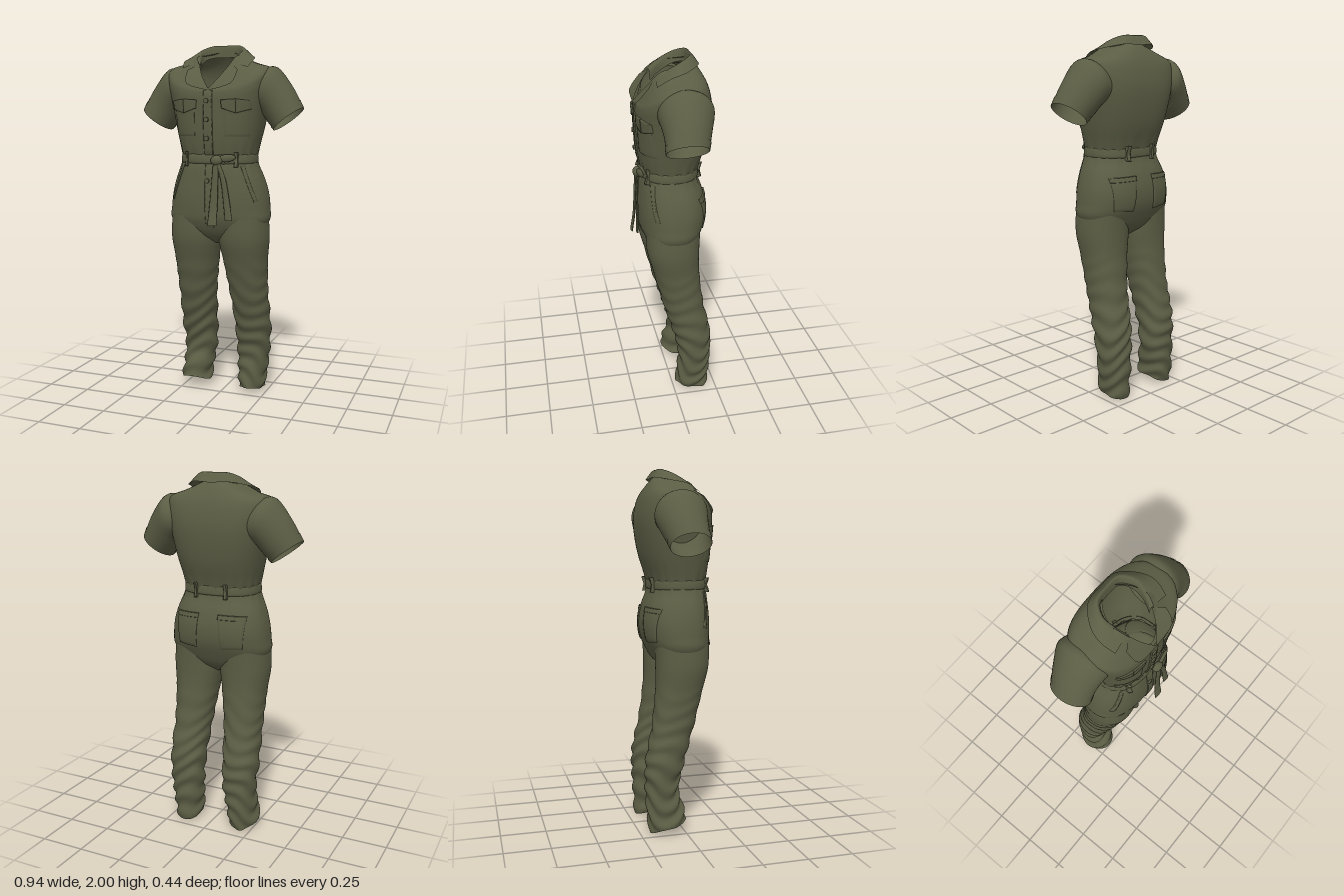
import * as THREE from 'three';

const olive = new THREE.MeshStandardMaterial({ color: 0x5b5d44, side: THREE.DoubleSide });
olive.name = 'olive cotton';

// Smooth interpolation through rows of numbers, t in 0..1
function sample(rows, t) {
  const f = t * (rows.length - 1), i = Math.min(Math.floor(f), rows.length - 2), k = f - i;
  const at = (n) => rows[Math.max(0, Math.min(rows.length - 1, n))];
  return rows[i].map((b, c) => {
    const a = at(i - 1)[c], d = at(i + 1)[c], e = at(i + 2)[c];
    return b + 0.5 * k * (d - a + k * (2 * a - 5 * b + 4 * d - e + k * (3 * (b - d) + e - a)));
  });
}

// Surface from fn(u, v) -> [x, y, z]; u runs around, v along
function surface(name, fn, nu, nv, closed = true) {
  const pos = [], index = [], cols = closed ? nu : nu + 1;
  for (let j = 0; j <= nv; j++)
    for (let i = 0; i < cols; i++) pos.push(...fn(i / nu, j / nv));
  for (let j = 0; j < nv; j++)
    for (let i = 0; i < nu; i++) {
      const a = j * cols + i, b = j * cols + (i + 1) % cols;
      index.push(a, a + cols, b, b, a + cols, b + cols);
    }
  const g = new THREE.BufferGeometry();
  g.setAttribute('position', new THREE.Float32BufferAttribute(pos, 3));
  g.setIndex(index);
  g.computeVertexNormals();
  const mesh = new THREE.Mesh(g, olive);
  mesh.name = name;
  return mesh;
}

// Garment tube. Row: front y, side y, back y, centre x, half width, front z, back z, squareness
function garment(name, rows, nv, fold = () => 0) {
  return surface(name, (u, v) => {
    const [yF, yS, yB, cx, rx, zf, zb, n] = sample(rows, v);
    const a = u * Math.PI * 2, p = 2 / n;
    const c = Math.sign(Math.cos(a)) * Math.abs(Math.cos(a)) ** p;
    const s = Math.sign(Math.sin(a)) * Math.abs(Math.sin(a)) ** p;
    const y = yS + ((s > 0 ? yF : yB) - yS) * s * s, w = fold(a, y);
    return [cx + c * (rx + w), y, (zf + zb) / 2 + s * ((zf - zb) / 2 + w)];
  }, 64, nv);
}
const flat = (y, ...rest) => [y, y, y, 0, ...rest];

const torsoRows = [
  flat(1.37, 0.205, 0.15, -0.145, 2.4),
  flat(1.44, 0.22, 0.165, -0.165, 2.5),
  flat(1.53, 0.24, 0.175, -0.193, 2.6),
  flat(1.63, 0.258, 0.178, -0.21, 2.8),
  [1.7, 1.72, 1.72, 0, 0.275, 0.18, -0.215, 2.9],
  [1.73, 1.81, 1.8, 0, 0.291, 0.178, -0.205, 2.8],
  [1.745, 1.868, 1.865, 0, 0.283, 0.174, -0.185, 2.6],
  [1.752, 1.895, 1.925, 0, 0.2, 0.168, -0.15, 2.2],
  [1.757, 1.935, 1.965, 0, 0.115, 0.162, -0.115, 1.7],
];
const hipRows = [
  flat(0.9, 0.06, 0.05, -0.05, 2),
  flat(0.95, 0.22, 0.12, -0.12, 2.2),
  flat(1.03, 0.284, 0.162, -0.165, 2.4),
  flat(1.1, 0.284, 0.173, -0.19, 2.4),
  flat(1.18, 0.274, 0.175, -0.195, 2.4),
  flat(1.26, 0.252, 0.17, -0.18, 2.4),
  flat(1.33, 0.222, 0.163, -0.155, 2.4),
  flat(1.38, 0.205, 0.15, -0.145, 2.4),
];
// Trouser leg on side s, with its own hem rows
const legRows = (s, hem) => [
  ...hem,
  [0.25, 0.25, 0.25, s * 0.165, 0.093, -0.033, -0.213, 2.2],
  [0.4, 0.4, 0.4, s * 0.167, 0.1, 0.0, -0.21, 2.2],
  [0.6, 0.6, 0.6, s * 0.157, 0.107, 0.06, -0.17, 2.2],
  [0.8, 0.8, 0.8, s * 0.147, 0.125, 0.112, -0.147, 2.2],
  [0.93, 0.93, 0.93, s * 0.143, 0.141, 0.145, -0.145, 2.2],
  [1.06, 1.06, 1.06, s * 0.142, 0.135, 0.15, -0.15, 2.2],
];

// Short sleeve. Row: centre x, y, z, half vector x, y, half depth
const sleeveRows = [
  [0.215, 1.745, -0.03, 0.03, 0.12, 0.14],
  [0.275, 1.745, -0.04, 0.04, 0.125, 0.142],
  [0.335, 1.672, -0.035, 0.066, 0.095, 0.122],
  [0.388, 1.592, -0.022, 0.078, 0.06, 0.108],
];
const sleeve = (name, s, from, puff) => surface(name, (u, v) => {
  const [x, y, z, ux, uy, rz] = sample(sleeveRows, from + (1 - from) * v);
  const a = u * Math.PI * 2, c = Math.cos(a) * puff;
  return [s * (x + c * ux), y + c * uy, z + Math.sin(a) * rz * puff];
}, 40, from ? 5 : 18);

// Half collar rows from the centre back to the tip: stand, fold line, outer edge
const collarRows = [
  [0, 1.93, -0.1, 0, 1.998, -0.108, 0, 1.945, -0.15],
  [0.065, 1.93, -0.09, 0.075, 1.997, -0.1, 0.1, 1.95, -0.138],
  [0.1, 1.91, -0.035, 0.12, 1.972, -0.04, 0.177, 1.93, -0.06],
  [0.1, 1.87, 0.03, 0.113, 1.935, 0.025, 0.202, 1.912, 0.02],
  [0.08, 1.83, 0.08, 0.09, 1.89, 0.085, 0.188, 1.868, 0.092],
];

// Flat cloth tail through centre points, of given half width
const tail = (name, pts, w) => surface(name, (u, v) => {
  const [x, y, z] = sample(pts, v), a = u * Math.PI * 2;
  return [x + Math.cos(a) * w * (0.55 + 0.45 * v), y, z + Math.sin(a) * 0.006];
}, 12, 14);

export function createModel() {
  const suit = new THREE.Group();
  suit.name = 'jumpsuit';
  const add = (mesh) => (suit.add(mesh), mesh);

  // Bodice and hips, gathered at the waist
  const gather = (a, y) => 0.004 * Math.sin(a * 18) * Math.max(0, 1 - Math.abs(y - 1.38) / 0.11);
  const torso = add(garment('bodice', torsoRows, 48, gather));
  const hips = add(garment('hips', hipRows, 36, gather));

  // Legs with creases deepening toward the hems
  const hems = {
    1: [[0.035, 0.02, 0.0, 0.157, 0.072, -0.02, -0.202, 2.2], [0.11, 0.1, 0.09, 0.16, 0.08, -0.025, -0.208, 2.2]],
    '-1': [[0.075, 0.045, 0.005, -0.182, 0.088, 0.012, -0.19, 2.2], [0.13, 0.11, 0.09, -0.178, 0.083, 0.0, -0.205, 2.2]],
  };
  for (const s of [1, -1]) {
    const side = s > 0 ? 'left' : 'right';
    const crease = (a, y) => 0.0065 * Math.max(0, Math.min(1, (0.85 - y) * 2.2))
      * Math.sin(y * 62 + 3 * s * Math.cos(a) + 2 * Math.sin(a * 2 + y * 9));
    add(garment(side + 'Leg', legRows(s, hems[s]), 80, crease));
    add(sleeve(side + 'Sleeve', s, 0, 1));
    add(sleeve(side + 'SleeveCuff', s, 0.86, 1.025));
    // Lapel below the collar
    add(surface(side + 'Lapel', (u, v) => {
      const inner = sample([[0.09, 1.89, 0.085], [0.05, 1.82, 0.145], [0, 1.755, 0.186]], v);
      const outer = sample([[0.145, 1.855, 0.125], [0.125, 1.78, 0.184], [0, 1.745, 0.188]], v);
      return inner.map((p, k) => (p + (outer[k] - p) * u) * (k === 0 ? s : 1));
    }, 6, 8, false));
  }

  // Folded collar
  add(surface('collar', (u, v) => {
    const r = sample(collarRows, Math.abs(v * 2 - 1)), s = v < 0.5 ? -1 : 1;
    const [x, y, z] = sample([r.slice(0, 3), r.slice(3, 6), r.slice(6, 9)], u);
    return [s * x, y, z];
  }, 10, 40, false));

  // Lays a thin four-cornered piece on the cloth: corners are top left, top right, bottom right, bottom left
  suit.updateMatrixWorld(true);
  const ray = new THREE.Raycaster();
  function drape(name, [tl, tr, br, bl], side = 1, lift = 0.007) {
    const n = 10, edge = (t) => Math.max(0, Math.min(1, (t * (n + 2) - 1) / n));
    return add(surface(name, (u, v) => {
      const a = edge(u), b = edge(v);
      const [x, y] = [0, 1].map((k) => (tl[k] * (1 - a) + tr[k] * a) * (1 - b) + (bl[k] * (1 - a) + br[k] * a) * b);
      ray.set(new THREE.Vector3(x, y, side), new THREE.Vector3(0, 0, -side));
      const hit = ray.intersectObjects([torso, hips])[0];
      const rim = u === 0 || u === 1 || v === 0 || v === 1;
      return [x, y, (hit ? hit.point.z : 0) + side * (rim ? -0.002 : lift)];
    }, n + 2, n + 2, false));
  }
  const box = (x0, x1, y1, y0) => [[x0, y1], [x1, y1], [x1, y0], [x0, y0]];

  // Button placket, fly and buttons
  drape('placket', box(-0.03, 0.02, 1.745, 1.4));
  drape('fly', box(-0.025, 0.02, 1.35, 1.0), 1, 0.005);
  for (const [y, z] of [[1.69, 0.189], [1.59, 0.187], [1.49, 0.182], [1.26, 0.178]]) {
    const b = add(new THREE.Mesh(new THREE.CylinderGeometry(0.013, 0.014, 0.012, 16), olive));
    b.name = 'button';
    b.rotation.x = Math.PI / 2;
    b.position.set(-0.012, y, z);
  }

  // Pockets on both sides
  for (const s of [1, -1]) {
    const m = (pts) => pts.map(([x, y]) => [s * x, y]);
    drape('chestPocket', m(box(0.085, 0.21, 1.65, 1.5)), 1, 0.004);
    drape('chestPocketFlapInner', m([[0.07, 1.695], [0.15, 1.7], [0.15, 1.625], [0.075, 1.65]]), 1, 0.009);
    drape('chestPocketFlapOuter', m([[0.15, 1.7], [0.225, 1.69], [0.222, 1.645], [0.15, 1.625]]), 1, 0.009);
    drape('hipPocketEdge', m([[0.165, 1.34], [0.18, 1.34], [0.25, 1.15], [0.236, 1.145]]), 1, 0.005);
    drape('backPocket', m([[0.06, 1.25], [0.205, 1.245], [0.19, 1.07], [0.075, 1.06]]), -1, 0.006);
    drape('backPocketHem', m([[0.058, 1.255], [0.207, 1.25], [0.205, 1.225], [0.06, 1.23]]), -1, 0.009);
    drape('frontBeltLoop', m(box(0.135, 0.152, 1.415, 1.335)), 1, 0.019);
    drape('backBeltLoop', m(box(0.08, 0.098, 1.415, 1.335)), -1, 0.019);
  }

  // Tied belt
  add(garment('belt', [
    flat(1.35, 0.207, 0.154, -0.148, 2.4), flat(1.358, 0.216, 0.165, -0.156, 2.4),
    flat(1.395, 0.213, 0.163, -0.154, 2.4), flat(1.405, 0.207, 0.154, -0.148, 2.4),
  ], 9));
  const knot = add(new THREE.Mesh(new THREE.SphereGeometry(0.03, 20, 14), olive));
  knot.name = 'beltKnot';
  knot.scale.set(1.1, 0.95, 0.75);
  knot.position.set(0.045, 1.372, 0.18);
  add(tail('beltTailLong', [[0.045, 1.37, 0.186], [0.04, 1.26, 0.192], [0.034, 1.13, 0.197], [0.03, 1.02, 0.213]], 0.028));
  add(tail('beltTailShort', [[0.05, 1.37, 0.186], [0.085, 1.28, 0.19], [0.105, 1.16, 0.19], [0.12, 1.05, 0.195]], 0.022));
  const loop = add(new THREE.Mesh(new THREE.SphereGeometry(0.05, 20, 10), olive));
  loop.name = 'beltBow';
  loop.scale.set(1, 0.42, 0.2);
  loop.rotation.set(0, 0.2, 0.12);
  loop.position.set(0.1, 1.385, 0.172);

  return suit;
}
